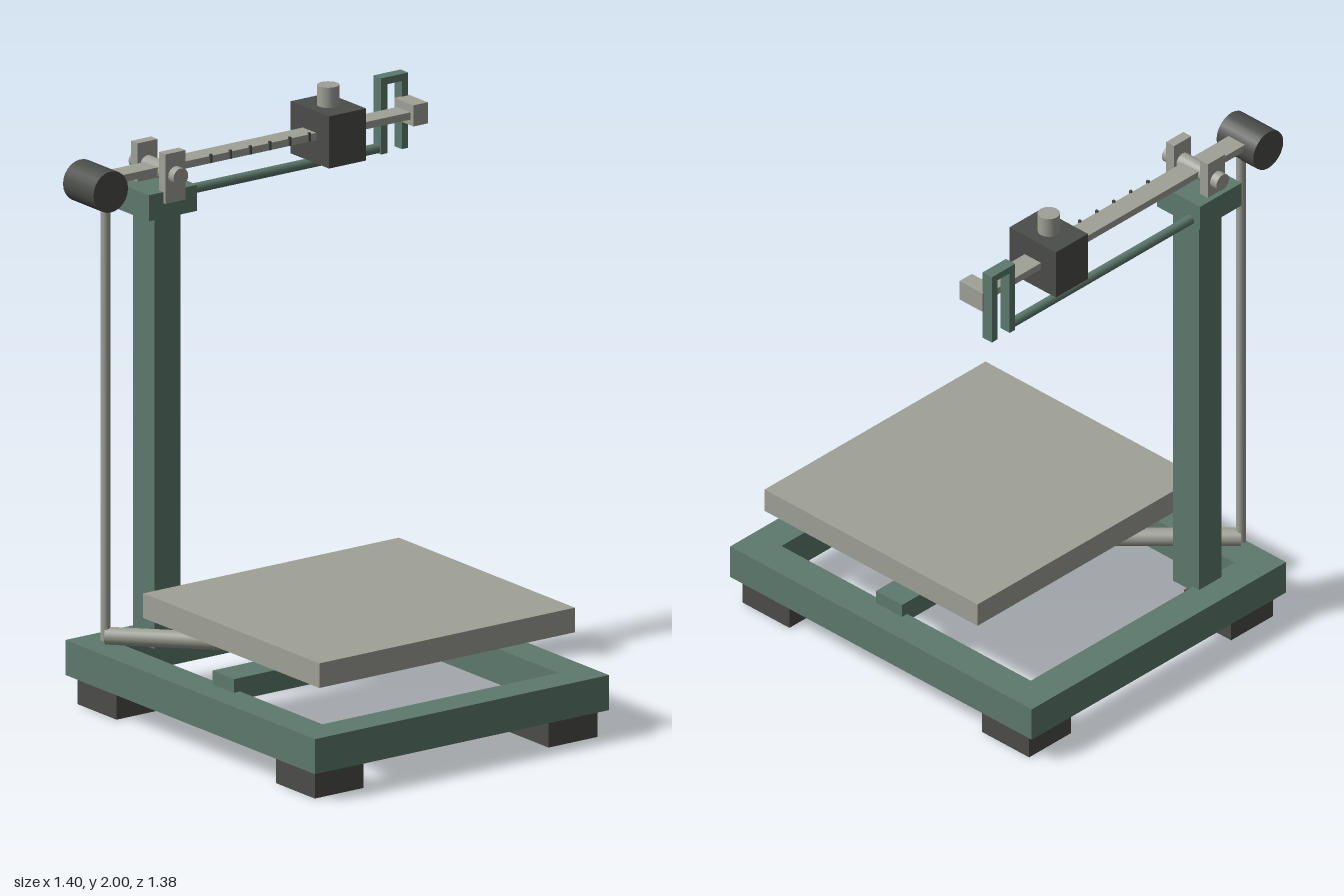
import * as THREE from 'three';

export function createModel() {
  const model = new THREE.Group();
  model.name = 'platformScale';

  const mat = (name, color) => {
    const m = new THREE.MeshStandardMaterial({ color });
    m.name = name;
    return m;
  };
  const green = mat('green paint', 0x5d796d);
  const steel = mat('pale steel', 0x9fa196);
  const iron = mat('dark iron', 0x4b4d4a);

  const add = (name, geometry, material) => {
    const mesh = new THREE.Mesh(geometry, material);
    mesh.name = name;
    model.add(mesh);
    return mesh;
  };

  // Box given by its extents on each axis
  const box = (name, material, [x0, x1], [y0, y1], [z0, z1]) => {
    const mesh = add(name, new THREE.BoxGeometry(x1 - x0, y1 - y0, z1 - z0), material);
    mesh.position.set((x0 + x1) / 2, (y0 + y1) / 2, (z0 + z1) / 2);
    return mesh;
  };

  // Round bar between two points
  const rod = (name, material, radius, from, to, sides = 20) => {
    const a = new THREE.Vector3(...from);
    const b = new THREE.Vector3(...to);
    const dir = b.clone().sub(a);
    const mesh = add(name, new THREE.CylinderGeometry(radius, radius, dir.length(), sides), material);
    mesh.position.copy(a).add(b).multiplyScalar(0.5);
    mesh.quaternion.setFromUnitVectors(new THREE.Vector3(0, 1, 0), dir.normalize());
    return mesh;
  };

  // Base frame and feet
  const frameY = [0.097, 0.218];
  box('frameSideRight', green, [-0.635, -0.515], frameY, [-0.692, 0.692]);
  box('frameSideLeft', green, [0.453, 0.573], frameY, [-0.692, 0.692]);
  box('frameFront', green, [-0.515, 0.453], frameY, [0.572, 0.692]);
  box('frameBack', green, [-0.515, 0.453], frameY, [-0.692, -0.572]);
  for (const x of [-0.51, 0.45]) {
    for (const z of [-0.55, 0.55]) {
      box('foot', iron, [x - 0.1, x + 0.1], [0, 0.1], [z - 0.108, z + 0.108]);
    }
  }

  // Cross bar, pivot and weighing platform
  box('crossBar', green, [-0.54, 0.477], [0.19, 0.265], [-0.005, 0.115]);
  box('pivotBlock', steel, [-0.14, 0.077], [0.22, 0.362], [-0.027, 0.128]);
  rod('pivotAxle', steel, 0.054, [-0.17, 0.265, 0.05], [0.108, 0.265, 0.05]);
  box('platform', steel, [-0.556, 0.494], [0.36, 0.445], [-0.367, 0.61]);

  // Linkage from the pivot to the beam
  rod('lowerLever', steel, 0.03, [-0.59, 0.265, -0.53], [-0.03, 0.265, 0.05]);
  rod('pullRod', steel, 0.017, [-0.59, 0.25, -0.53], [-0.59, 1.83, -0.53]);

  // Column and its cap
  box('column', green, [-0.425, -0.317], [0.2, 1.7], [-0.6, -0.482]);
  box('columnCap', green, [-0.473, -0.275], [1.695, 1.785], [-0.645, -0.447]);

  // Fulcrum cheeks and axle
  for (const z of [-0.608, -0.453]) {
    box('fulcrumCheek', steel, [-0.414, -0.332], [1.747, 1.918], [z - 0.018, z + 0.018]);
  }
  rod('fulcrumAxle', steel, 0.03, [-0.373, 1.84, -0.655], [-0.373, 1.84, -0.405]);

  // Weighing beam with notches, counterweight, poise and tip
  box('beam', steel, [-0.63, 0.66], [1.831, 1.856], [-0.57, -0.495]);
  for (let i = 0; i < 6; i++) {
    const x = -0.185 + i * 0.081;
    box('beamNotch', iron, [x - 0.004, x + 0.004], [1.833, 1.863], [-0.498, -0.489]);
  }
  rod('counterweight', iron, 0.071, [-0.63, 1.825, -0.616], [-0.63, 1.825, -0.447], 24);
  box('poise', iron, [0.25, 0.402], [1.75, 1.93], [-0.638, -0.425]);
  rod('poiseKnob', steel, 0.037, [0.326, 1.925, -0.532], [0.326, 2.0, -0.532]);
  box('beamTip', steel, [0.637, 0.696], [1.811, 1.884], [-0.585, -0.479]);

  // Guide arm and stop loop
  rod('guideArm', green, 0.017, [-0.3, 1.716, -0.602], [0.59, 1.716, -0.602], 12);
  const loopZ = [-0.622, -0.58];
  box('loopInnerPost', green, [0.579, 0.605], [1.7, 1.94], loopZ);
  box('loopOuterPost', green, [0.664, 0.69], [1.703, 1.94], loopZ);
  box('loopTop', green, [0.579, 0.69], [1.938, 1.963], loopZ);

  return model;
}
